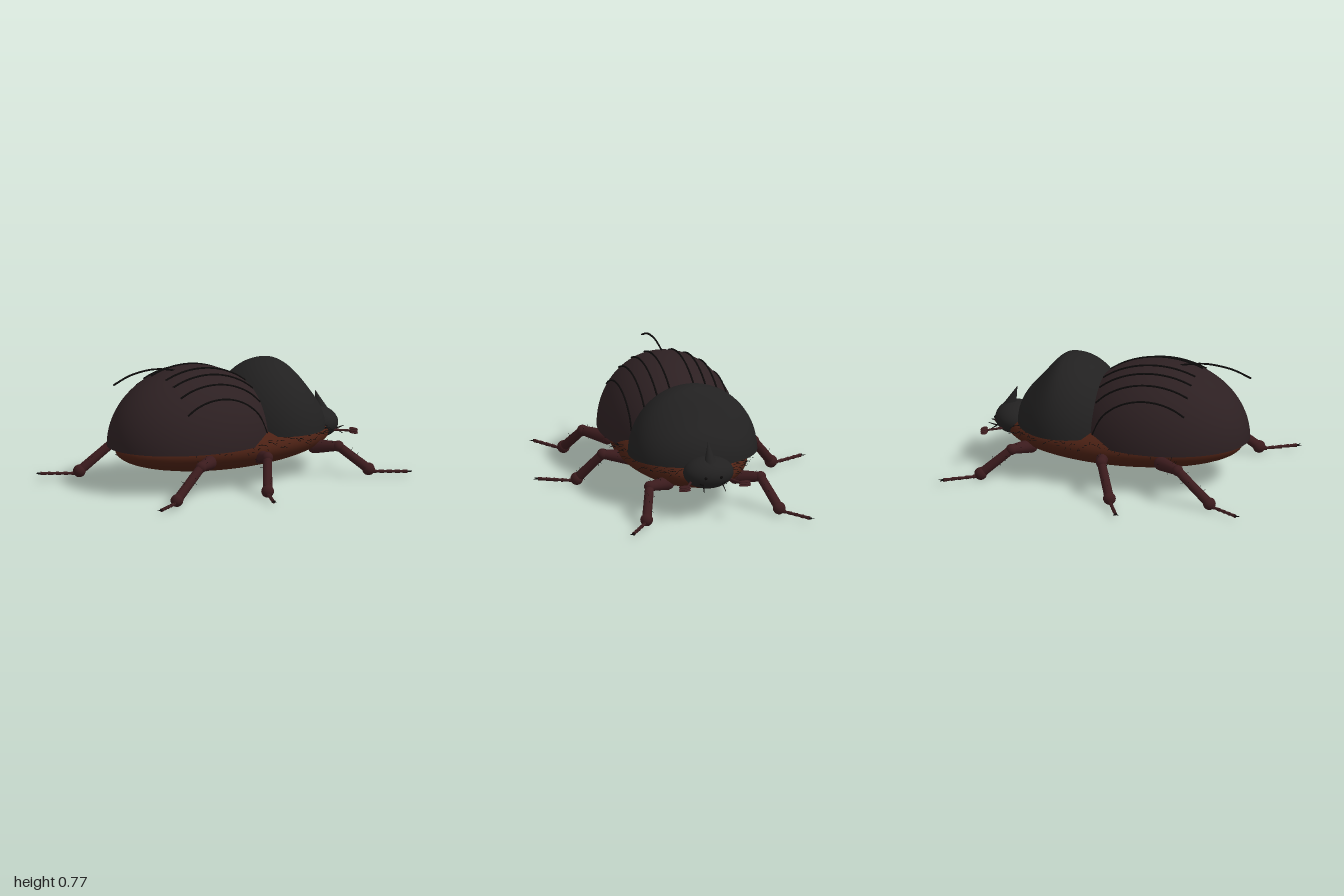
import * as THREE from 'three';

const V = (x, y, z) => new THREE.Vector3(x, y, z);
const mat = (color) => new THREE.MeshStandardMaterial({ color, side: THREE.DoubleSide });
const shell = mat(0x2d2022), plate = mat(0x222121), under = mat(0x4c2114);
const limb = mat(0x3b1b1d), dark = mat(0x0c0a0a);

function add(parent, name, geometry, material) {
  const mesh = new THREE.Mesh(geometry, material);
  mesh.name = name;
  parent.add(mesh);
  return mesh;
}

function ball(parent, name, material, c, r, seg = 16) {
  const geometry = new THREE.SphereGeometry(1, seg * 2, seg).scale(r.x, r.y, r.z);
  return add(parent, name, geometry.translate(c.x, c.y, c.z), material);
}

// Tapered rod from a to b
function rod(parent, name, material, a, b, ra, rb, seg = 12) {
  const dir = b.clone().sub(a);
  const mesh = add(parent, name, new THREE.CylinderGeometry(rb, ra, dir.length(), seg), material);
  mesh.position.copy(a).addScaledVector(dir, 0.5);
  mesh.quaternion.setFromUnitVectors(V(0, 1, 0), dir.normalize());
  return mesh;
}

function line(parent, name, points, r) {
  const curve = new THREE.CatmullRomCurve3(points);
  return add(parent, name, new THREE.TubeGeometry(curve, 32, r, 6), dark);
}

let seed = 7;
const rand = () => (seed = (seed * 16807) % 2147483647) / 2147483647;

// Wing covers: centre and radii of the domed shell
const SC = V(-0.29, 0.275, 0), SR = V(0.56, 0.48, 0.43);
const shellY = (x, z) => SC.y + SR.y *
  Math.sqrt(Math.max(0, 1 - ((x - SC.x) / SR.x) ** 2 - (z / SR.z) ** 2));

function buildWingCovers(beetle) {
  const group = new THREE.Group();
  group.name = 'wingCovers';
  beetle.add(group);
  for (const s of [1, -1]) {
    const g = new THREE.SphereGeometry(1, 40, 28, s > 0 ? 0 : Math.PI, Math.PI, 0, Math.PI / 2);
    g.scale(SR.x, SR.y, SR.z).translate(SC.x, SC.y, SC.z);
    add(group, s > 0 ? 'rightWingCover' : 'leftWingCover', g, shell);
    // Grooves running along each cover
    for (const z of [0.08, 0.163, 0.245, 0.325]) {
      const pts = [];
      for (let i = 0; i <= 10; i++) {
        const x = -0.53 + 0.06 * i;
        pts.push(V(x, shellY(x, z) + 0.004, s * z));
      }
      line(group, 'groove', pts, 0.006);
    }
  }
  // Raised seam curving off the back
  line(group, 'seam', [V(-0.87, 0.7, 0), V(-0.75, 0.745, 0), V(-0.6, 0.765, 0),
    V(-0.5, 0.758, 0), V(-0.41, 0.74, 0)], 0.006);
}

// Thorax shield: a dome that slopes down more steeply at the front
function buildThorax(beetle) {
  const g = new THREE.SphereGeometry(1, 56, 28, 0, Math.PI * 2, 0, Math.PI / 2);
  g.scale(0.335, 0.43, 0.41);
  const p = g.attributes.position;
  for (let i = 0; i < p.count; i++) {
    const slope = THREE.MathUtils.smoothstep(p.getX(i), 0.03, 0.25);
    p.setY(i, p.getY(i) * (1 - 0.25 * slope));
  }
  g.translate(0.295, 0.31, 0).computeVertexNormals();
  add(beetle, 'thoraxShield', g, plate);
}

function buildHead(beetle) {
  const head = new THREE.Group();
  head.name = 'head';
  beetle.add(head);
  ball(head, 'skull', plate, V(0.66, 0.288, 0), V(0.13, 0.1, 0.16), 20);
  rod(head, 'horn', plate, V(0.705, 0.35, 0), V(0.655, 0.487, 0), 0.042, 0.001, 20);
  for (const s of [1, -1]) {
    ball(head, 'eye', dark, V(0.782, 0.287, s * 0.05), V(0.01, 0.01, 0.01), 6);
    // Antenna with a club of three stacked plates
    rod(head, 'antennaStem', limb, V(0.7, 0.25, s * 0.12), V(0.75, 0.245, s * 0.15), 0.009, 0.007, 8);
    rod(head, 'antennaStem', limb, V(0.75, 0.245, s * 0.15), V(0.81, 0.243, s * 0.19), 0.007, 0.006, 8);
    for (let i = 0; i < 3; i++) {
      ball(head, 'antennaPlate', limb, V(0.812, 0.231 + 0.012 * i, s * 0.195), V(0.021, 0.006, 0.04), 8);
    }
    // Feelers around the mouth
    rod(head, 'feeler', dark, V(0.75, 0.25, s * 0.06), V(0.815, 0.205, s * 0.07), 0.005, 0.002, 6);
    rod(head, 'feeler', dark, V(0.76, 0.245, s * 0.08), V(0.82, 0.255, s * 0.075), 0.005, 0.002, 6);
  }
}

// Dark bristles around the edge of the belly
const BC = V(-0.05, 0.25, 0), BR = V(0.76, 0.162, 0.4);
function buildBelly(beetle) {
  ball(beetle, 'belly', under, BC, BR, 28);
  const bristles = new THREE.Group();
  bristles.name = 'bristles';
  beetle.add(bristles);
  for (const s of [1, -1]) {
    for (let i = 0; i < 70; i++) {
      const a = 0.42 + 1.75 * (i + rand()) / 70, lift = -0.05 + rand() * 0.4;
      const n = V(Math.cos(a) * Math.cos(lift), Math.sin(lift), s * Math.sin(a) * Math.cos(lift));
      const base = n.clone().multiply(BR).add(BC);
      const tip = base.clone().add(V(n.x * 0.02 + (rand() - 0.5) * 0.02,
        (rand() - 0.4) * 0.03, s * (0.015 + 0.025 * rand())));
      rod(bristles, 'bristle', dark, base, tip, 0.0025, 0.0008, 4);
    }
  }
}

// Leg from hip, knee, ankle and toe positions, s mirrors it across the body
function buildLeg(beetle, name, joints, s) {
  const leg = new THREE.Group();
  leg.name = (s < 0 ? 'left' : 'right') + name;
  beetle.add(leg);
  const [hip, knee, ankle, toe] = joints.map(([x, y, z]) => V(x, y, s * z));
  rod(leg, 'thigh', limb, hip, knee, 0.045, 0.03);
  ball(leg, 'hip', limb, hip, V(0.045, 0.045, 0.045), 8);
  ball(leg, 'knee', limb, knee, V(0.035, 0.035, 0.035), 10);
  rod(leg, 'shin', limb, knee, ankle, 0.028, 0.03);
  ball(leg, 'ankle', limb, ankle, V(0.04, 0.04, 0.04), 10);
  // Foot in five flared segments
  for (let i = 0; i < 5; i++) {
    const a = ankle.clone().lerp(toe, i / 5), b = ankle.clone().lerp(toe, (i + 1) / 5);
    if (i < 1) a.y = 0.03;
    a.y = b.y = 0.03;
    rod(leg, 'footSegment', limb, a, b, 0.008, 0.012, 8);
  }
  // Pair of claws
  const along = toe.clone().sub(ankle).setY(0).normalize();
  const side = V(-along.z, 0, along.x);
  for (const k of [1, -1]) {
    const tip = toe.clone().addScaledVector(along, 0.028).addScaledVector(side, k * 0.016);
    rod(leg, 'claw', dark, toe, tip, 0.006, 0.001, 6);
  }
  // Spines on the thigh and shin
  for (let i = 0; i < 14; i++) {
    const [a, b] = i % 2 ? [hip, knee] : [knee, ankle];
    const base = a.clone().lerp(b, 0.15 + 0.75 * rand());
    const out = V(rand() - 0.5, rand() - 0.3, rand() - 0.5).normalize();
    rod(leg, 'spine', dark, base, base.clone().addScaledVector(out, 0.05), 0.003, 0.0008, 4);
  }
}

export function createModel() {
  const beetle = new THREE.Group();
  beetle.name = 'beetle';
  buildBelly(beetle);
  buildWingCovers(beetle);
  buildThorax(beetle);
  buildHead(beetle);
  const legs = {
    FrontLeg: [[0.5, 0.185, 0.22], [0.585, 0.2, 0.36], [0.765, 0.045, 0.43], [0.965, 0.03, 0.57]],
    MiddleLeg: [[0.0, 0.2, 0.33], [-0.04, 0.225, 0.49], [-0.135, 0.045, 0.63], [-0.24, 0.03, 0.85]],
    RearLeg: [[-0.39, 0.21, 0.36], [-0.535, 0.22, 0.48], [-0.76, 0.045, 0.54], [-0.965, 0.03, 0.67]],
  };
  for (const [name, joints] of Object.entries(legs)) {
    for (const s of [1, -1]) buildLeg(beetle, name, joints, s);
  }
  return beetle;
}
